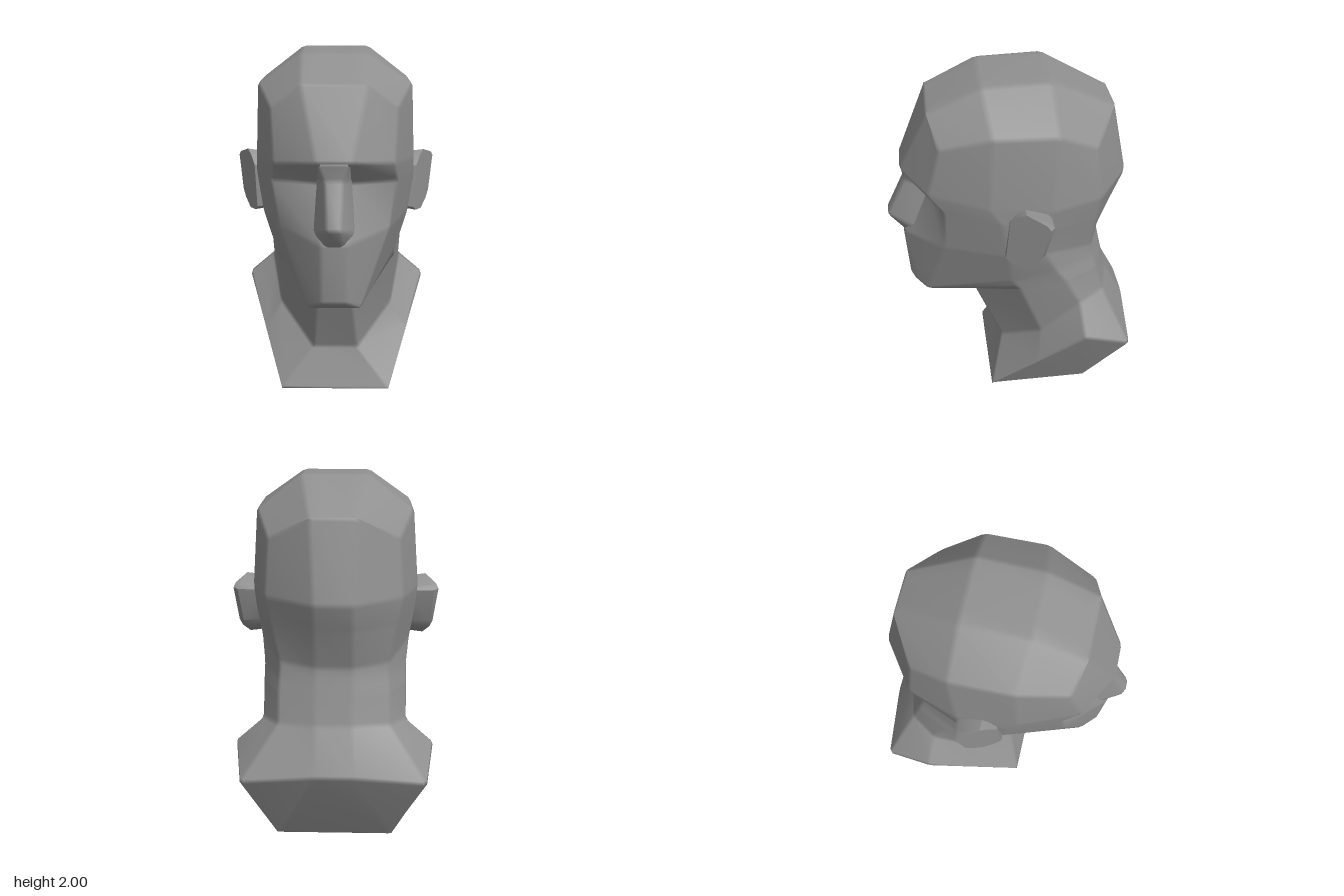
import * as THREE from 'three';
import { mergeVertices, toCreasedNormals } from 'three/addons/utils/BufferGeometryUtils.js';
import { ConvexGeometry } from 'three/addons/geometries/ConvexGeometry.js';

const material = new THREE.MeshStandardMaterial({ color: 0x909090 });
const BEVEL = 0.016;

// Each row is a half section: points from front centre round the left side to back centre.
const crown = [[0.17, 1.86, 0.435], [0.17, 1.86, 0.435], [0.18, 1.99, 0.16], [0.18, 2, -0.19], [0.12, 1.82, -0.535], [0.12, 1.82, -0.535]];
const crownInner = [[0.08, 1.9, 0.35], [0.08, 1.9, 0.35], [0.08, 1.99, 0.16], [0.08, 2, -0.19], [0.06, 1.86, -0.46], [0.06, 1.86, -0.46]];
const throat = [[0.1, 0.61, 0.21], [0.1, 0.61, 0.21], [0.347, 0.8, -0.02], [0.397, 0.88, -0.27], [0.3, 0.88, -0.465], [0.1, 0.88, -0.527]];
const face = [
  // upper temple
  [[0.17, 1.86, 0.435], [0.33, 1.74, 0.39], [0.415, 1.83, 0.13], [0.415, 1.82, -0.2], [0.34, 1.7, -0.41], [0.12, 1.82, -0.535]],
  // brow
  [[0.09, 1.495, 0.6], [0.315, 1.465, 0.46], [0.43, 1.43, 0.15], [0.45, 1.4, -0.17], [0.36, 1.4, -0.445], [0.1, 1.4, -0.63]],
  // eye sockets
  [[0.08, 1.36, 0.45], [0.335, 1.36, 0.38], [0.44, 1.34, 0.09], [0.44, 1.28, -0.16], [0.33, 1.25, -0.435], [0.1, 1.25, -0.572]],
  // cheeks and nape
  [[0.07, 1.07, 0.605], [0.295, 1.1, 0.39], [0.415, 1.1, 0.05], [0.41, 1.1, -0.15], [0.29, 1.04, -0.42], [0.1, 1.03, -0.493]],
  // chin and jaw
  [[0.07, 0.74, 0.585], [0.145, 0.69, 0.5], [0.35, 0.87, 0.03], [0.397, 0.97, -0.21], [0.295, 0.96, -0.44], [0.1, 0.96, -0.508]],
  // under the chin
  [[0.13, 0.675, 0.49], [0.135, 0.675, 0.49], [0.345, 0.855, 0.015], [0.397, 0.93, -0.235], [0.297, 0.93, -0.45], [0.1, 0.93, -0.515]],
];
const bottom = [[0.32, 0, 0.145], [0.32, 0, 0.145], [0.32, 0, 0.145], [0.32, 0, 0.145], [0.32, 0, -0.42], [0.32, 0, -0.42]];
const bust = [
  throat,
  // base of the neck
  [[0.13, 0.24, 0.06], [0.13, 0.24, 0.06], [0.335, 0.45, -0.15], [0.395, 0.7, -0.36], [0.3, 0.72, -0.51], [0.1, 0.73, -0.563]],
  // shoulder edge
  [[0.32, 0, 0.145], [0.32, 0, 0.145], [0.435, 0.285, -0.115], [0.55, 0.565, -0.37], [0.5, 0.44, -0.65], [0.1, 0.485, -0.69]],
  bottom,
  bottom.map(([x, y, z]) => [x * 0.7, y, -0.135 + (z + 0.135) * 0.7]),
];
const nose = [
  // blend into the brow
  [[0.085, 1.49, 0.59], [0.1, 1.475, 0.5], [0.07, 1.475, 0.38]],
  // bridge
  [[0.05, 1.4, 0.578], [0.095, 1.365, 0.44], [0.07, 1.38, 0.36]],
  // tip and wings
  [[0.04, 1.17, 0.69], [0.112, 1.12, 0.545], [0.07, 1.15, 0.4]],
  // base
  [[0.045, 1.06, 0.603], [0.085, 1.08, 0.56], [0.06, 1.08, 0.4]],
];

// Replaces every corner of a path with two points, leaving a narrow bevel.
function bevelPath(points, closed) {
  const out = closed ? [] : [points[0]];
  const count = closed ? points.length : points.length - 1;
  for (let i = 0; i < count; i++) {
    const a = points[i], b = points[(i + 1) % points.length];
    const t = Math.min(0.3, BEVEL / Math.max(a.distanceTo(b), 1e-6));
    out.push(a.clone().lerp(b, t), a.clone().lerp(b, 1 - t));
  }
  if (!closed) out.push(points[points.length - 1]);
  return out;
}

// Skins mirrored half sections from top to bottom.
function loft(name, halfRows, capTop, capBottom) {
  const rings = halfRows.map((half) => {
    const left = half.map((p) => new THREE.Vector3(...p));
    const right = half.map(([x, y, z]) => new THREE.Vector3(-x, y, z)).reverse();
    return bevelPath([...left, ...right], true);
  });
  const n = rings[0].length;
  const columns = rings[0].map((_, k) => bevelPath(rings.map((r) => r[k]), false));
  const m = columns[0].length;
  const positions = [], index = [];
  for (let r = 0; r < m; r++) for (let k = 0; k < n; k++) positions.push(...columns[k][r].toArray());
  const quad = (a, b, c, d) => index.push(a, b, c, a, c, d);
  for (let r = 0; r < m - 1; r++) {
    for (let k = 0; k < n; k++) {
      const k2 = (k + 1) % n;
      quad(r * n + k, (r + 1) * n + k, (r + 1) * n + k2, r * n + k2);
    }
  }
  // Caps join each left point to its mirror on the right.
  for (let k = -1; k < n / 2 - 2; k++) {
    const a = (k + n) % n, b = k + 1, c = n - 4 - k, d = n - 3 - k;
    const last = (m - 1) * n;
    if (capTop) quad(a, b, c, d);
    if (capBottom) quad(last + d, last + c, last + b, last + a);
  }
  let geometry = new THREE.BufferGeometry();
  geometry.setAttribute('position', new THREE.Float32BufferAttribute(positions, 3));
  geometry.setIndex(index);
  geometry = mergeVertices(geometry, 1e-4);
  geometry.computeVertexNormals();
  const mesh = new THREE.Mesh(geometry, material);
  mesh.name = name;
  return mesh;
}

// Ear slab that flares outward toward the back, with a slanted rear face.
function ear(name, side) {
  const outline = [[0.05, 1.36], [0.01, 1.41], [-0.03, 1.435], [-0.125, 1.4], [-0.145, 1.375], [-0.105, 1.18], [-0.08, 1.14], [-0.02, 1.09], [0.04, 1.095], [0.07, 1.12]];
  const points = [];
  for (const [z, y] of outline) {
    const flare = 0.45 + (0.06 - z) * 0.56;
    const rear = z < -0.07 ? 0.022 : 0;
    points.push(new THREE.Vector3(side * flare, y, z));
    points.push(new THREE.Vector3(side * (flare - 0.025), y + (1.26 - y) * 0.03, z - rear));
    points.push(new THREE.Vector3(side * 0.39, y + (1.26 - y) * 0.08, z - rear));
  }
  const mesh = new THREE.Mesh(toCreasedNormals(new ConvexGeometry(points), 0.6), material);
  mesh.name = name;
  return mesh;
}

export function createModel() {
  const group = new THREE.Group();
  group.name = 'headBust';
  group.add(loft('head', [crownInner, crown, ...face, throat], true, false));
  group.add(loft('neckAndShoulders', bust, false, true));
  group.add(loft('nose', nose, true, true));
  group.add(ear('leftEar', 1), ear('rightEar', -1));
  return group;
}
